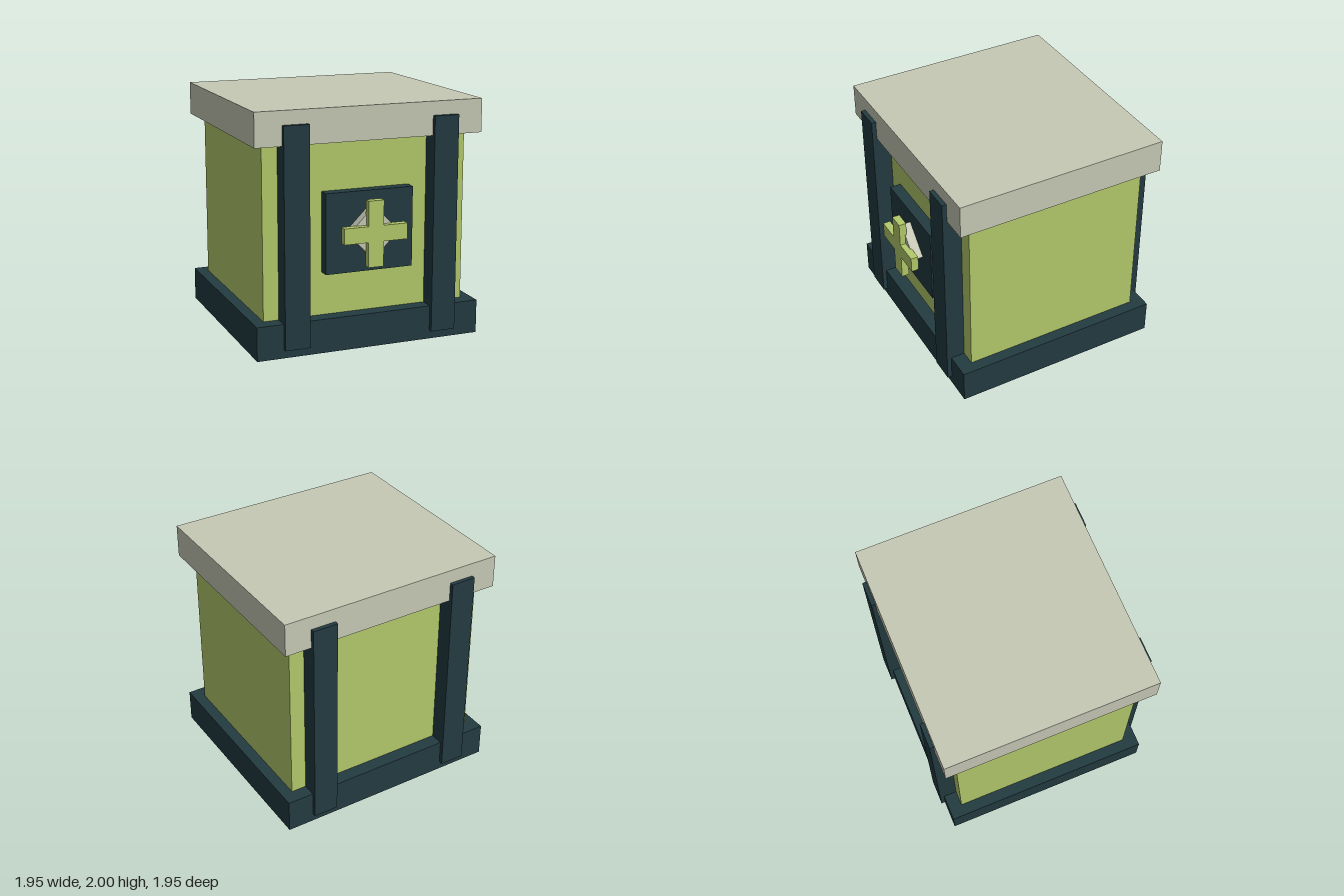
import * as THREE from 'three';

export function createModel() {
  const model = new THREE.Group();
  const material = (name, color) => {
    const m = new THREE.MeshStandardMaterial({ color });
    m.name = name;
    return m;
  };
  const teal = material('dark teal', 0x233b41);
  const lime = material('lime green', 0xb4ca6b);
  const stone = material('pale stone', 0xc7c9b6);

  const add = (name, geometry, mat) => {
    const mesh = new THREE.Mesh(geometry, mat);
    mesh.name = name;
    model.add(mesh);
  };
  // Box given by its limits on each axis
  const box = (name, mat, [x0, x1], [y0, y1], [z0, z1]) => {
    const g = new THREE.BoxGeometry(x1 - x0, y1 - y0, z1 - z0);
    g.translate((x0 + x1) / 2, (y0 + y1) / 2, (z0 + z1) / 2);
    add(name, g, mat);
  };
  // Flat outline around the emblem centre, extruded from z0 to z1
  const plate = (name, mat, points, z0, z1) => {
    const shape = new THREE.Shape(points.map(([x, y]) => new THREE.Vector2(x, y)));
    const g = new THREE.ExtrudeGeometry(shape, { depth: z1 - z0, bevelEnabled: false });
    g.translate(0, 0.98, z0);
    add(name, g, mat);
  };

  // Crate: base, body and lid
  box('base', teal, [-0.975, 0.975], [0, 0.285], [-0.935, 0.87]);
  box('body', lime, [-0.88, 0.88], [0.285, 1.72], [-0.82, 0.75]);
  box('lid', stone, [-0.975, 0.975], [1.72, 2], [-0.935, 0.87]);

  // Upright straps on the front and back
  for (const side of [-1, 1]) {
    const x = [side * 0.643 - 0.107, side * 0.643 + 0.107];
    box('frontStrap', teal, x, [0.072, 1.885], [0.75, 0.908]);
    box('backStrap', teal, x, [0.072, 1.885], [-0.97, -0.82]);
  }

  // Emblem: backing panel, diamond and cross
  box('emblemPanel', teal, [-0.38, 0.377], [0.645, 1.312], [0.75, 0.845]);
  const r = 0.22;
  plate('emblemDiamond', stone, [[r, 0], [0, r], [-r, 0], [0, -r]], 0.845, 0.926);
  const a = 0.066, b = 0.273;
  plate('emblemCross', lime, [
    [a, a], [a, b], [-a, b], [-a, a], [-b, a], [-b, -a],
    [-a, -a], [-a, -b], [a, -b], [a, -a], [b, -a], [b, a],
  ], 0.912, 0.975);

  return model;
}
